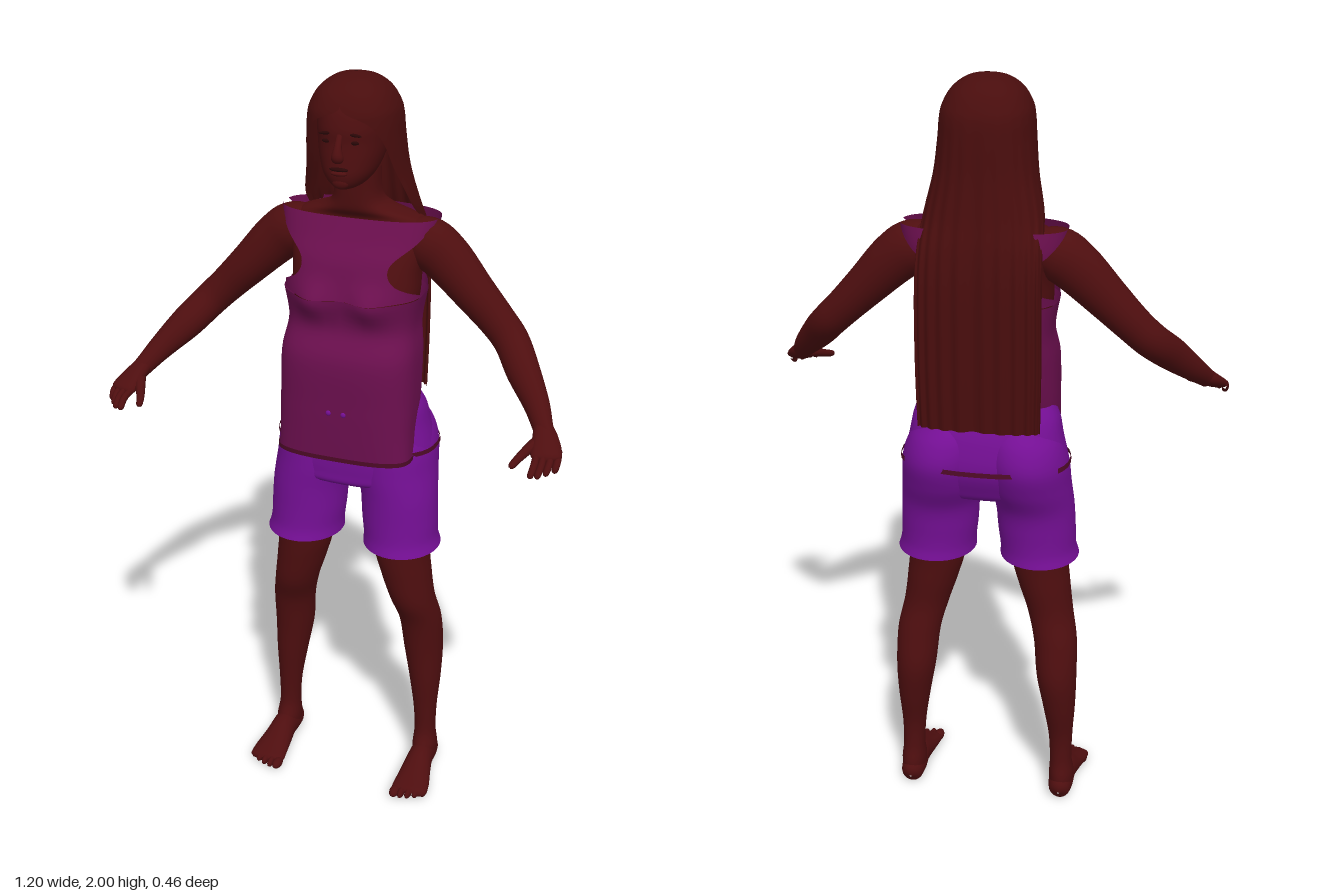
import * as THREE from 'three';

const mat = (name, color, side = THREE.FrontSide) => {
  const m = new THREE.MeshStandardMaterial({ color, side });
  m.name = name;
  return m;
};

// Catmull-Rom through every column of a table of rows
function smoothRows(rows, steps) {
  const out = [], last = rows.length - 1;
  for (let i = 0; i < last; i++) {
    const p0 = rows[Math.max(i - 1, 0)], p1 = rows[i], p2 = rows[i + 1], p3 = rows[Math.min(i + 2, last)];
    for (let s = 0; s < steps; s++) {
      const t = s / steps;
      out.push(p1.map((b, k) => 0.5 * (2 * b + (p2[k] - p0[k]) * t
        + (2 * p0[k] - 5 * b + 4 * p2[k] - p3[k]) * t * t
        + (3 * b - p0[k] - 3 * p2[k] + p3[k]) * t * t * t)));
    }
  }
  out.push(rows[last]);
  return out;
}

// Joins rings of points into a smooth skin
function skinRings(rings, closed) {
  const n = rings[0].length, pos = rings.flat(2), idx = [];
  for (let i = 0; i < rings.length - 1; i++) {
    for (let j = 0; j < (closed ? n : n - 1); j++) {
      const k = (j + 1) % n, a = i * n + j, b = i * n + k, c = a + n, d = b + n;
      idx.push(a, b, c, b, d, c);
    }
  }
  const g = new THREE.BufferGeometry();
  g.setAttribute('position', new THREE.Float32BufferAttribute(pos, 3));
  g.setIndex(idx);
  g.computeVertexNormals();
  return g;
}

// Level rings, top to bottom: [y, centreX, radiusX, frontZ, backZ, halfAngle?]
function loft(rows, { n = 40, p = 2, mid = 0, steps = 6, shape = null } = {}) {
  const open = rows[0].length > 5, e = 2 / p;
  const pw = v => Math.sign(v) * Math.abs(v) ** e;
  const rings = smoothRows(rows, steps).map(([y, cx, rx, zf, zb, a]) => {
    const ring = [];
    for (let j = 0; j < n; j++) {
      const t = open ? mid + Math.min(a, Math.PI) * (2 * j / (n - 1) - 1) : 2 * Math.PI * j / n;
      const pt = [cx + rx * pw(Math.sin(t)), y, (zf + zb) / 2 - (zf - zb) / 2 * pw(Math.cos(t))];
      if (shape) shape(pt, t);
      ring.push(pt);
    }
    return ring;
  });
  return skinRings(rings, !open);
}

// Rings along a path: [x, y, z, radiusAcross, radiusUp]
function limb(rows, ref, n = 16, steps = 5) {
  const pts = smoothRows(rows, steps), V = r => new THREE.Vector3(r[0], r[1], r[2]);
  const rings = pts.map((r, i) => {
    const T = V(pts[Math.min(i + 1, pts.length - 1)]).sub(V(pts[Math.max(i - 1, 0)])).normalize();
    const A = new THREE.Vector3(...ref).cross(T).normalize(), B = T.clone().cross(A);
    return Array.from({ length: n }, (_, j) => {
      const t = 2 * Math.PI * j / n;
      return V(r).addScaledVector(A, r[3] * Math.cos(t)).addScaledVector(B, r[4] * Math.sin(t)).toArray();
    });
  });
  return skinRings(rings, true);
}

export function createModel() {
  const root = new THREE.Group();
  const skin = mat('skin', 0x4e0e0f), hair = mat('hair', 0x490d0d, THREE.DoubleSide);
  const shirt = mat('shirt', 0x6b0f4e, THREE.DoubleSide), shorts = mat('shorts', 0x740f94, THREE.DoubleSide);
  const trim = mat('trim', 0x4c0a26, THREE.DoubleSide), dark = mat('eyes', 0x2a0707);
  const add = (name, geo, m) => {
    const mesh = new THREE.Mesh(geo, m);
    mesh.name = name;
    root.add(mesh);
    return mesh;
  };
  const blob = (name, m, x, y, z, sx, sy, sz) => {
    const b = add(name, new THREE.SphereGeometry(1, 16, 10), m);
    b.position.set(x, y, z);
    b.scale.set(sx, sy, sz);
    return b;
  };

  // Neck and torso
  add('torso', loft([
    [1.77, 0, .058, -.02, -.13], [1.70, 0, .06, -.025, -.14], [1.668, 0, .09, -.03, -.16],
    [1.64, 0, .165, -.045, -.17], [1.6, 0, .185, -.02, -.185], [1.52, 0, .168, .02, -.18],
    [1.46, 0, .165, .035, -.175], [1.38, 0, .155, .035, -.165], [1.3, 0, .16, .06, -.15],
    [1.1, 0, .16, .02, -.08]], { p: 2.4 }), skin);

  // Head and face
  add('head', loft([
    [1.99, 0, .003, -.06, -.066], [1.975, 0, .05, -.01, -.13], [1.94, 0, .08, .035, -.16],
    [1.89, 0, .086, .052, -.17], [1.85, 0, .084, .052, -.165], [1.81, 0, .076, .055, -.14],
    [1.775, 0, .063, .056, -.11], [1.75, 0, .043, .048, -.08], [1.738, 0, .02, .03, -.05],
    [1.736, 0, .002, .0, -.02]], { p: 2.2 }), skin);
  add('nose', limb([[0, 1.875, .05, .007, .004], [0, 1.845, .063, .01, .01],
    [0, 1.825, .066, .015, .014], [0, 1.815, .06, .012, .008], [0, 1.812, .055, .001, .001]], [0, 0, 1]), skin);
  blob('upperLip', dark, 0, 1.793, .056, .024, .005, .007);
  blob('lowerLip', skin, 0, 1.783, .056, .021, .006, .008);
  blob('chin', skin, 0, 1.758, .043, .022, .016, .012);

  // Hair: a cap that opens at the face and falls as a sheet down the back
  const strands = (pt, t) => {
    const fall = THREE.MathUtils.clamp((1.95 - pt[1]) / .4, 0, 1);
    pt[2] += .004 * fall * Math.sin(t * 22) + .008 * fall * Math.exp(-((pt[0] / .02) ** 2));
  };
  add('hair', loft([
    [2.0, 0, .004, -.058, -.066, 3.1416], [1.99, 0, .05, -.01, -.115, 3.1416], [1.965, 0, .085, .03, -.152, 3.1416],
    [1.93, 0, .106, .052, -.175, 3.1], [1.9, 0, .113, .058, -.185, 2.55], [1.85, 0, .117, .056, -.19, 2.2],
    [1.77, 0, .126, .03, -.195, 2.0], [1.68, 0, .145, -.02, -.207, 1.85], [1.6, 0, .152, -.13, -.222, 1.65],
    [1.5, 0, .155, -.17, -.23, 1.6], [1.32, 0, .157, -.17, -.228, 1.57], [1.15, 0, .155, -.165, -.222, 1.57]],
  { n: 81, p: 2.3, shape: strands }), hair);

  // Shirt: front and back yokes with armholes, then a closed body
  const bust = pt => {
    if (pt[2] > -.03) pt[2] += .03 * Math.exp(-(((Math.abs(pt[0]) - .075) / .05) ** 2) - ((pt[1] - 1.45) / .045) ** 2);
  };
  const yoke = [[1.65, 0, .205, -.025, -.19, 1.45], [1.6, 0, .2, 0, -.2, .95], [1.55, 0, .19, .028, -.2, .55],
    [1.5, 0, .183, .042, -.195, .72], [1.46, 0, .18, .05, -.19, 1.5708]];
  for (const [name, mid] of [['shirtFront', Math.PI], ['shirtBack', 0]])
    add(name, loft(yoke, { mid, p: 2.6, shape: bust }), shirt);
  add('shirtBody', loft([
    [1.46, 0, .18, .05, -.19], [1.38, 0, .168, .047, -.18], [1.3, 0, .178, .08, -.165], [1.18, 0, .18, .083, -.14],
    [1.1, 0, .178, .082, -.1], [1.03, 0, .18, .08, -.07]], { n: 56, p: 3, shape: bust }), shirt);
  add('shirtHem', loft([[1.04, 0, .182, .082, -.07], [1.028, 0, .182, .082, -.07]], { n: 56, p: 3, steps: 1 }), trim);

  // Shorts seat and waist stripe
  add('shortsSeat', loft([
    [1.185, 0, .172, .0, -.148], [1.15, 0, .188, .02, -.175], [1.1, 0, .198, .03, -.195], [1.03, 0, .213, .038, -.205],
    [.97, 0, .215, .038, -.185], [.935, 0, .18, .03, -.16], [.915, 0, .03, -.03, -.09]], { p: 2.3 }), shorts);
  add('stripe', loft([[1.044, 0, .218, .042, -.228], [1.032, 0, .22, .042, -.23]], { p: 2.4, steps: 1 }), trim);

  for (const s of [1, -1]) {
    const side = s > 0 ? 'left' : 'right';
    const X = rows => rows.map(([x, ...r]) => [s * x, ...r]);
    const C = rows => rows.map(([y, x, ...r]) => [y, s * x, ...r]);

    // Eyes, brows and shirt buttons
    blob(side + 'Eye', dark, s * .033, 1.857, .044, .014, .005, .004);
    blob(side + 'Brow', dark, s * .035, 1.876, .046, .019, .004, .004).rotation.z = s * -.1;
    blob(side + 'Button', shorts, s * .02, 1.165, .083, .007, .007, .004);

    // Shorts leg with buttock
    add(side + 'ShortsLeg', loft(C([
      [1.14, .09, .05, -.04, -.17], [1.1, .1, .09, .0, -.208], [1.04, .108, .106, .03, -.225], [.97, .113, .108, .038, -.205],
      [.9, .125, .103, .04, -.172], [.83, .13, .102, .042, -.163], [.78, .134, .1, .046, -.162],
      [.75, .138, .104, .055, -.168]])), shorts);

    // Leg
    add(side + 'Leg', loft(C([
      [.95, .125, .09, .03, -.15], [.75, .137, .077, .025, -.135], [.66, .152, .069, .02, -.132], [.58, .17, .061, .01, -.13],
      [.5, .188, .058, -.02, -.145], [.4, .195, .054, -.035, -.16], [.3, .203, .044, -.042, -.145],
      [.2, .208, .033, -.05, -.122], [.12, .21, .03, -.05, -.12], [.07, .212, .034, -.03, -.13],
      [.03, .212, .032, -.03, -.13]])), skin);

    // Foot and toes
    add(side + 'Foot', limb(X([
      [.212, .03, -.137, .003, .003], [.212, .034, -.125, .026, .03], [.212, .038, -.09, .034, .036],
      [.213, .044, -.04, .035, .042], [.215, .033, .01, .042, .031], [.218, .022, .06, .05, .02],
      [.218, .017, .088, .048, .014], [.218, .016, .098, .02, .006]]), [0, 1, 0], 20), skin);
    for (let i = 0; i < 5; i++)
      blob(side + 'Toe', skin, s * (.18 + i * .0195), .015, .098 - i * i * .0018, i ? .0095 : .014, .013, .024);

    // Arm from shoulder to wrist
    add(side + 'Arm', limb(X([
      [.1, 1.59, -.1, .04, .04], [.17, 1.585, -.1, .065, .06], [.225, 1.55, -.1, .064, .058], [.3, 1.475, -.092, .054, .053],
      [.365, 1.41, -.085, .047, .046], [.41, 1.365, -.068, .045, .044], [.455, 1.315, -.015, .043, .04],
      [.505, 1.26, .04, .033, .031], [.535, 1.222, .085, .026, .023], [.545, 1.21, .1, .025, .02]]), [0, 0, 1], 20), skin);

    // Hand, fingers and thumb
    add(side + 'Hand', limb(X([
      [.532, 1.225, .08, .022, .02], [.547, 1.208, .108, .031, .02], [.558, 1.19, .138, .037, .017],
      [.564, 1.178, .16, .035, .013], [.566, 1.173, .168, .01, .005]]), [0, 1, 0]), skin);
    for (let i = 0; i < 4; i++) {
      const x = .537 + i * .016, z = .16 - i * .006, len = [.058, .06, .046, .03][i];
      add(side + 'Finger', limb(X([
        [x, 1.182, z - .02, .009, .009], [x + .006, 1.172, z + len * .5, .009, .009],
        [x + .004, 1.155, z + len, .008, .008], [x + .003, 1.15, z + len + .006, .001, .001]]), [0, 1, 0], 10, 3), skin);
    }
    add(side + 'Thumb', limb(X([
      [.54, 1.205, .105, .016, .014], [.518, 1.19, .148, .013, .012], [.5, 1.175, .185, .01, .01],
      [.492, 1.167, .208, .008, .008], [.49, 1.165, .214, .001, .001]]), [0, 1, 0], 10, 4), skin);
  }
  return root;
}
